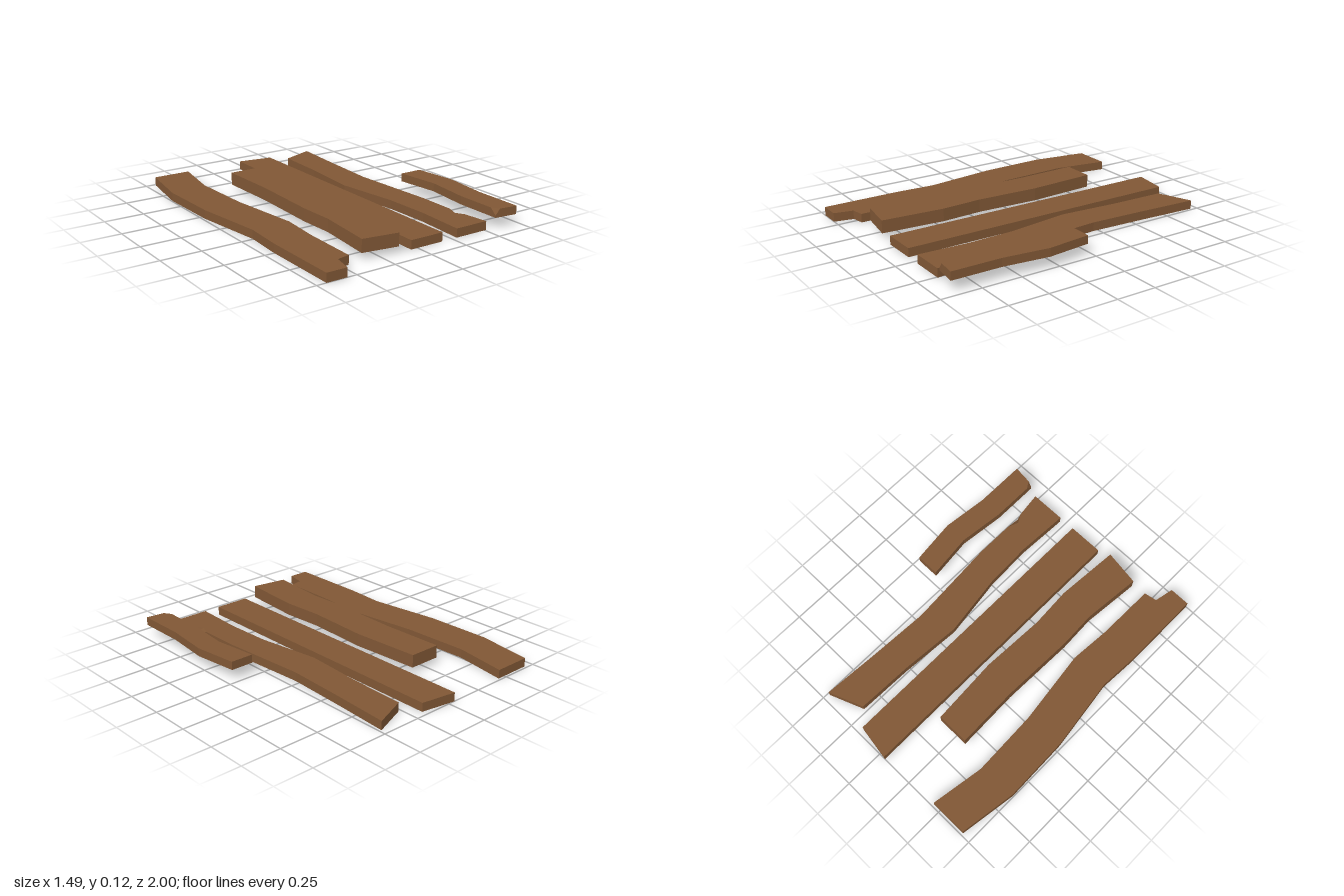
import * as THREE from 'three';

const wood = new THREE.MeshStandardMaterial({ color: 0x805735 });
wood.name = 'brown wood';

// Flat plank from an outline [x, z], counterclockwise seen from above.
// A chipped point is [x, z, y] or [x, z, y, innerX, innerZ]: the edge drops to
// height y there, and the top surface is cut back to the inner point.
function plank(name, y0, y1, outline) {
  const pos = [];
  const tri = (...v) => v.forEach((p) => pos.push(...p));
  const n = outline.length;
  const top = outline.map(([x, z, y = y1]) => [x, y, z]);
  const base = outline.map(([x, z]) => [x, y0, z]);

  // Side walls
  for (let i = 0; i < n; i++) {
    const j = (i + 1) % n;
    tri(base[i], base[j], top[j]);
    tri(base[i], top[j], top[i]);
  }

  // Chipped faces, and the top outline that remains around them
  const rim = [];
  outline.forEach(([, , y, ix, iz], i) => {
    if (y === undefined) return rim.push(top[i]);
    const before = top[(i + n - 1) % n], after = top[(i + 1) % n];
    if (ix === undefined) return tri(before, top[i], after);
    const inner = [ix, y1, iz];
    tri(before, top[i], inner);
    tri(inner, top[i], after);
    rim.push(inner);
  });

  // Top and underside
  const fill = (ring, flip) => {
    const contour = ring.map(([x, , z]) => new THREE.Vector2(x, -z));
    for (const [a, b, c] of THREE.ShapeUtils.triangulateShape(contour, [])) {
      if (flip) tri(ring[a], ring[c], ring[b]);
      else tri(ring[a], ring[b], ring[c]);
    }
  };
  fill(rim, false);
  fill(base, true);

  const geometry = new THREE.BufferGeometry();
  geometry.setAttribute('position', new THREE.Float32BufferAttribute(pos, 3));
  geometry.computeVertexNormals();
  const mesh = new THREE.Mesh(geometry, wood);
  mesh.name = name;
  return mesh;
}

export function createModel() {
  const group = new THREE.Group();
  group.name = 'woodenPlanks';

  group.add(
    // Wavy plank with a broken front corner
    plank('brokenPlank', 0, 0.055, [
      [-0.69, -0.985], [-0.745, -0.625], [-0.735, -0.21], [-0.675, 0.245], [-0.69, 0.5],
      [-0.69, 1], [-0.56, 1], [-0.535, 0.88], [-0.455, 0.865],
      [-0.45, 0.5], [-0.43, 0.245], [-0.49, -0.23], [-0.505, -0.65], [-0.45, -0.985],
    ]),
    // Thick raised plank
    plank('thickPlank', 0.04, 0.12, [
      [-0.33, -0.605], [-0.32, -0.21], [-0.335, 0.255], [-0.325, 0.485], [-0.36, 0.85],
      [-0.135, 0.885], [-0.105, 0.49], [-0.12, 0.23], [-0.1, -0.17], [-0.125, -0.605],
    ]),
    // Straight plank with a slanted back end
    plank('straightPlank', 0, 0.055, [
      [-0.045, -1], [-0.045, 0.88], [0.178, 0.88], [0.178, -0.965],
    ]),
    // Wavy plank with a chip in its left edge
    plank('chippedPlank', 0, 0.055, [
      [0.27, -0.875], [0.26, -0.525], [0.232, -0.14], [0.29, 0.265], [0.3, 0.56],
      [0.285, 0.88], [0.508, 0.88], [0.487, 0.72],
      [0.484, 0.69, 0.022, 0.455, 0.665], [0.482, 0.595],
      [0.482, 0.355], [0.443, -0.22], [0.462, -0.6], [0.485, -0.96],
    ]),
    // Short raised plank with a chipped corner
    plank('shortPlank', 0.068, 0.12, [
      [0.563, 0.03], [0.595, 0.31], [0.563, 0.6], [0.563, 0.855],
      [0.563, 0.897, 0.082], [0.592, 0.901], [0.71, 0.915],
      [0.71, 0.6], [0.742, 0.31], [0.71, 0.03],
    ]),
  );
  return group;
}
